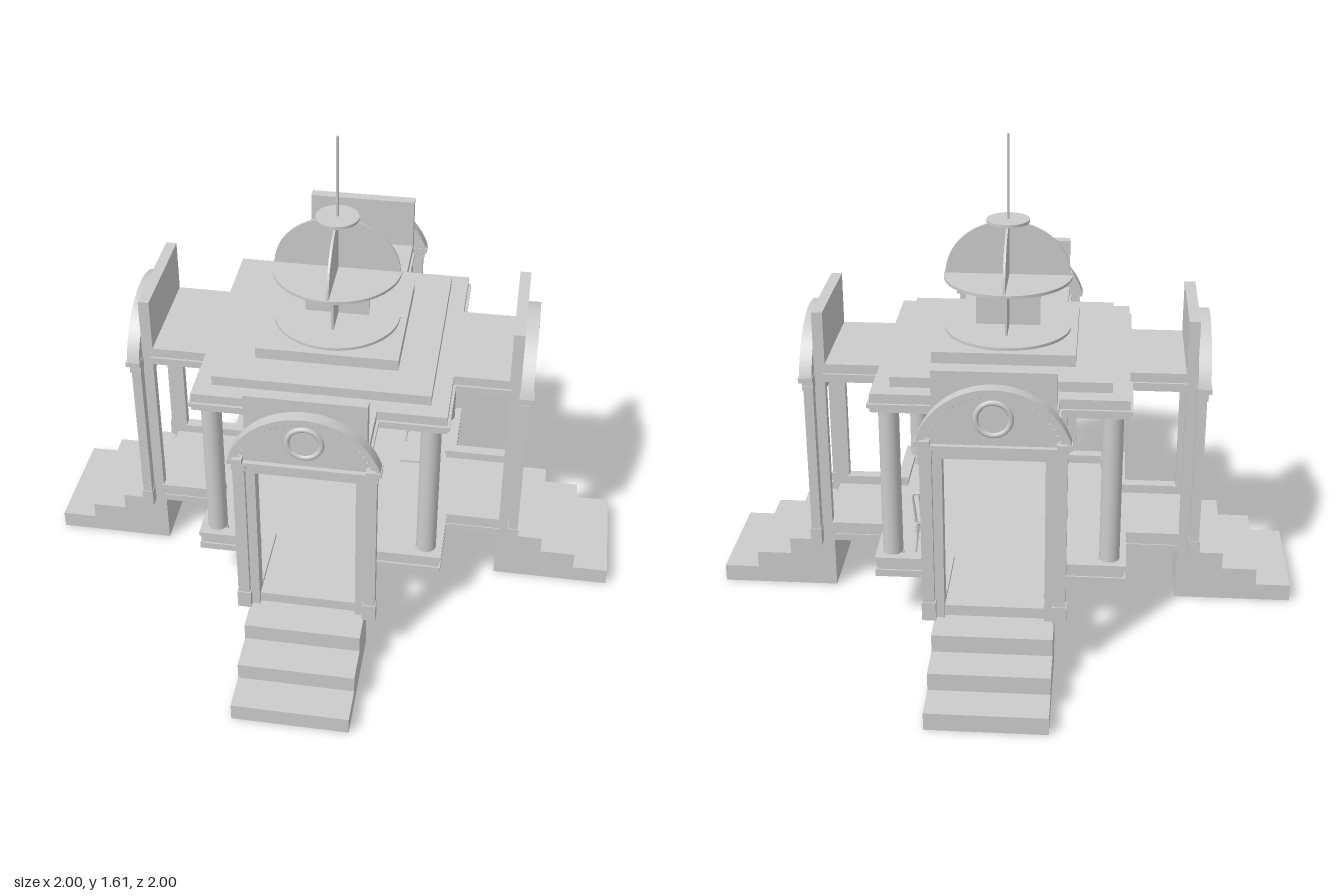
import * as THREE from 'three';

const GREY = new THREE.MeshStandardMaterial({ color: 0xcccccc, side: THREE.DoubleSide });

function add(parent, name, geo, x = 0, y = 0, z = 0) {
  const m = new THREE.Mesh(geo, GREY);
  m.name = name;
  m.position.set(x, y, z);
  parent.add(m);
  return m;
}
// Box given by its min and max corners
function block(parent, name, x0, x1, y0, y1, z0, z1) {
  return add(parent, name, new THREE.BoxGeometry(x1 - x0, y1 - y0, z1 - z0),
    (x0 + x1) / 2, (y0 + y1) / 2, (z0 + z1) / 2);
}
const cyl = (r, h, n = 32) => new THREE.CylinderGeometry(r, r, h, n);
const shapeOf = pts => new THREE.Shape(pts.map(p => new THREE.Vector2(p[0], p[1])));
const extrude = (shape, depth) => new THREE.ExtrudeGeometry(shape, { depth, bevelEnabled: false, curveSegments: 32 });

// Horizontal plate from a plan outline
function plate(parent, name, pts, y0, y1) {
  return add(parent, name, extrude(shapeOf(pts), y1 - y0).rotateX(-Math.PI / 2), 0, y0, 0);
}
// Plan of a cross: centre half-size a, arm half-width b, arm reach c
const crossPlan = (a, b, c) => [
  [b, c], [b, a], [a, a], [a, b], [c, b], [c, -b], [a, -b], [a, -a], [b, -a], [b, -c],
  [-b, -c], [-b, -a], [-a, -a], [-a, -b], [-c, -b], [-c, b], [-a, b], [-a, a], [-b, a], [-b, c]];
// Stepped strip following one quadrant of the cross, t thick
const stripPlan = (a, b, c, t) => [
  [b, c], [b, a], [a, a], [a, b], [c, b],
  [c, b - t], [a - t, b - t], [a - t, a - t], [b - t, a - t], [b - t, c]];

// Circular segment: half-width w, height h above y0
function segment(w, h, y0) {
  const r = (w * w + h * h) / (2 * h), cy = y0 + h - r, a = Math.asin((y0 - cy) / r);
  return { r, cy, a };
}

// Hollow staircase, open underneath
function stairs() {
  const g = new THREE.Group();
  g.name = 'stairs';
  const w = 0.192;
  const side = shapeOf([[0.6, 0], [1, 0], [1, 0.06], [0.88, 0.06], [0.88, 0.12], [0.76, 0.12], [0.76, 0.18], [0.6, 0.18]]);
  for (const s of [-1, 1]) add(g, 'stairSide', new THREE.ShapeGeometry(side).rotateY(-Math.PI / 2), s * w);
  [[0.88, 1, 0.06], [0.76, 0.88, 0.12], [0.6, 0.76, 0.18]].forEach(([z0, z1, y]) => {
    add(g, 'tread', new THREE.PlaneGeometry(2 * w, z1 - z0).rotateX(-Math.PI / 2), 0, y, (z0 + z1) / 2);
    add(g, 'riser', new THREE.PlaneGeometry(2 * w, 0.06), 0, y - 0.03, z1);
  });
  add(g, 'stairBack', new THREE.PlaneGeometry(2 * w, 0.18).rotateY(Math.PI), 0, 0.09, 0.6);
  return g;
}

// Doorway with arched pediment and parapet
function portal() {
  const g = new THREE.Group();
  g.name = 'portal';
  for (const s of [-1, 1]) {
    const post = (name, xa, xb, y0, y1, z0, z1) =>
      block(g, name, Math.min(s * xa, s * xb), Math.max(s * xa, s * xb), y0, y1, z0, z1);
    post('doorPost', 0.16, 0.192, 0.18, 0.79, 0.605, 0.655);
    post('pilaster', 0.19, 0.228, 0.18, 0.79, 0.64, 0.672);
    post('pilasterBase', 0.186, 0.231, 0.18, 0.245, 0.638, 0.676);
    post('pilasterCap', 0.186, 0.232, 0.775, 0.79, 0.638, 0.676);
  }
  block(g, 'lintel', -0.192, 0.192, 0.755, 0.83, 0.605, 0.66);
  block(g, 'architrave', -0.23, 0.23, 0.79, 0.805, 0.638, 0.676);
  for (const s of [-1, 1]) block(g, 'cornice', s * 0.218 - 0.024, s * 0.218 + 0.024, 0.805, 0.823, 0.638, 0.686);
  block(g, 'parapet', -0.192, 0.192, 0.82, 1.04, 0.603, 0.64);
  // Tympanum
  const tymp = new THREE.Shape(), i = segment(0.215, 0.16, 0.82);
  tymp.absarc(0, i.cy, i.r, i.a, Math.PI - i.a, false);
  tymp.lineTo(-0.215, 0.805);
  tymp.lineTo(0.215, 0.805);
  add(g, 'tympanum', extrude(tymp, 0.02), 0, 0, 0.64);
  // Archivolt in two stepped bands
  const o = segment(0.24, 0.18, 0.82);
  [[o.r, o.r - 0.013, 0.682], [o.r - 0.013, o.r - 0.026, 0.672]].forEach(([ro, ri, z]) => {
    const band = new THREE.Shape();
    band.absarc(0, o.cy, ro, o.a, Math.PI - o.a, false);
    band.absarc(0, o.cy, ri, Math.PI - o.a, o.a, true);
    add(g, 'archivolt', extrude(band, z - 0.64), 0, 0, 0.64);
  });
  // Dentils under the arch
  for (let k = 0; k <= 24; k++) {
    const a = o.a + 0.05 + (Math.PI - 2 * o.a - 0.1) * k / 24, r = o.r - 0.03;
    const d = add(g, 'dentil', new THREE.BoxGeometry(0.009, 0.012, 0.012), r * Math.cos(a), o.cy + r * Math.sin(a), 0.663);
    d.rotation.z = a;
  }
  // Round window ornament
  add(g, 'oculusRing', new THREE.TorusGeometry(0.054, 0.009, 10, 40), 0, 0.895, 0.662);
  add(g, 'oculus', cyl(0.045, 0.006).rotateX(Math.PI / 2), 0, 0.895, 0.662);
  return g;
}

// Bentwood chair facing +z
function chair() {
  const g = new THREE.Group();
  g.name = 'chair';
  const tube = (name, pts, r = 0.0035) => add(g, name,
    new THREE.TubeGeometry(new THREE.CatmullRomCurve3(pts.map(p => new THREE.Vector3(...p))), 16, r, 6));
  add(g, 'seat', cyl(0.043, 0.009, 24), 0, 0.112, 0);
  for (const s of [-1, 1]) {
    tube('frontLeg', [[s * 0.027, 0.11, 0.027], [s * 0.031, 0.05, 0.031], [s * 0.038, 0, 0.04]]);
    tube('backLeg', [[s * 0.025, 0.11, -0.027], [s * 0.028, 0.05, -0.031], [s * 0.033, 0, -0.042]]);
  }
  const ring = add(g, 'legRing', new THREE.TorusGeometry(0.038, 0.0025, 6, 24), 0, 0.06, 0);
  ring.rotation.x = Math.PI / 2;
  tube('backFrame', [[-0.029, 0.112, -0.03], [-0.035, 0.18, -0.036], [-0.036, 0.222, -0.038],
    [0, 0.228, -0.044], [0.036, 0.222, -0.038], [0.035, 0.18, -0.036], [0.029, 0.112, -0.03]], 0.0045);
  for (const s of [-1, 0, 1]) tube('spindle', [[s * 0.011, 0.112, -0.035], [s * 0.017, 0.225, -0.042]], 0.0025);
  return g;
}

export function createModel() {
  const model = new THREE.Group();
  model.name = 'pavilion';

  // Floor and stepped roof
  plate(model, 'floor', crossPlan(0.42, 0.192, 0.64), 0.18, 0.205);
  plate(model, 'floorTop', crossPlan(0.414, 0.188, 0.64), 0.205, 0.217);
  plate(model, 'roofSlab', crossPlan(0.418, 0.192, 0.605), 0.82, 0.855);
  block(model, 'roofStep', -0.36, 0.36, 0.855, 0.89, -0.36, 0.36);
  block(model, 'roofStep', -0.238, 0.238, 0.89, 0.93, -0.238, 0.238);
  add(model, 'roofDisc', cyl(0.215, 0.01, 48), 0, 0.935, 0);

  // Four identical sides
  for (let k = 0; k < 4; k++) {
    const side = new THREE.Group();
    side.name = 'side';
    side.rotation.y = k * Math.PI / 2;
    side.add(stairs(), portal());
    plate(side, 'lowerRail', stripPlan(0.416, 0.19, 0.61, 0.03), 0.217, 0.238);
    plate(side, 'lowerRailCap', stripPlan(0.421, 0.195, 0.61, 0.04), 0.238, 0.252);
    plate(side, 'architrave', stripPlan(0.418, 0.192, 0.61, 0.035), 0.79, 0.808);
    plate(side, 'cornice', stripPlan(0.427, 0.2, 0.61, 0.044), 0.808, 0.822);
    add(side, 'column', cyl(0.034, 0.605), 0.365, 0.5175, 0.365);
    add(side, 'columnBase', cyl(0.037, 0.035), 0.365, 0.235, 0.365);
    add(side, 'columnCap', cyl(0.038, 0.02), 0.365, 0.805, 0.365);
    model.add(side);
  }

  // Ceiling ring
  add(model, 'ceilingRing', new THREE.TorusGeometry(0.2, 0.012, 10, 48).rotateX(Math.PI / 2), 0, 0.815, 0);

  // Dome of crossed fins between discs
  const dome = new THREE.Group();
  dome.name = 'dome';
  const arc = new THREE.Shape();
  arc.absellipse(0, 1.12, 0.212, 0.188, 0, Math.PI, false, 0);
  for (const turn of [0, Math.PI / 2]) {
    const fin = new THREE.Group();
    fin.name = 'fin';
    fin.rotation.y = turn;
    add(fin, 'domeFin', extrude(arc, 0.008), 0, 0, -0.004);
    block(fin, 'lanternFin', -0.11, 0.11, 0.935, 1.115, -0.004, 0.004);
    dome.add(fin);
  }
  add(dome, 'domeBase', cyl(0.217, 0.01, 48), 0, 1.118, 0);
  add(dome, 'domeCap', cyl(0.072, 0.01), 0, 1.311, 0);
  add(dome, 'spire', cyl(0.0045, 0.295, 10), 0, 1.4575, 0);
  model.add(dome);

  // Furnishings
  const seat = chair();
  seat.position.set(0.263, 0.217, -0.275);
  model.add(seat);
  block(model, 'floorBar', 0.22, 0.32, 0.217, 0.224, -0.155, -0.11);
  return model;
}
